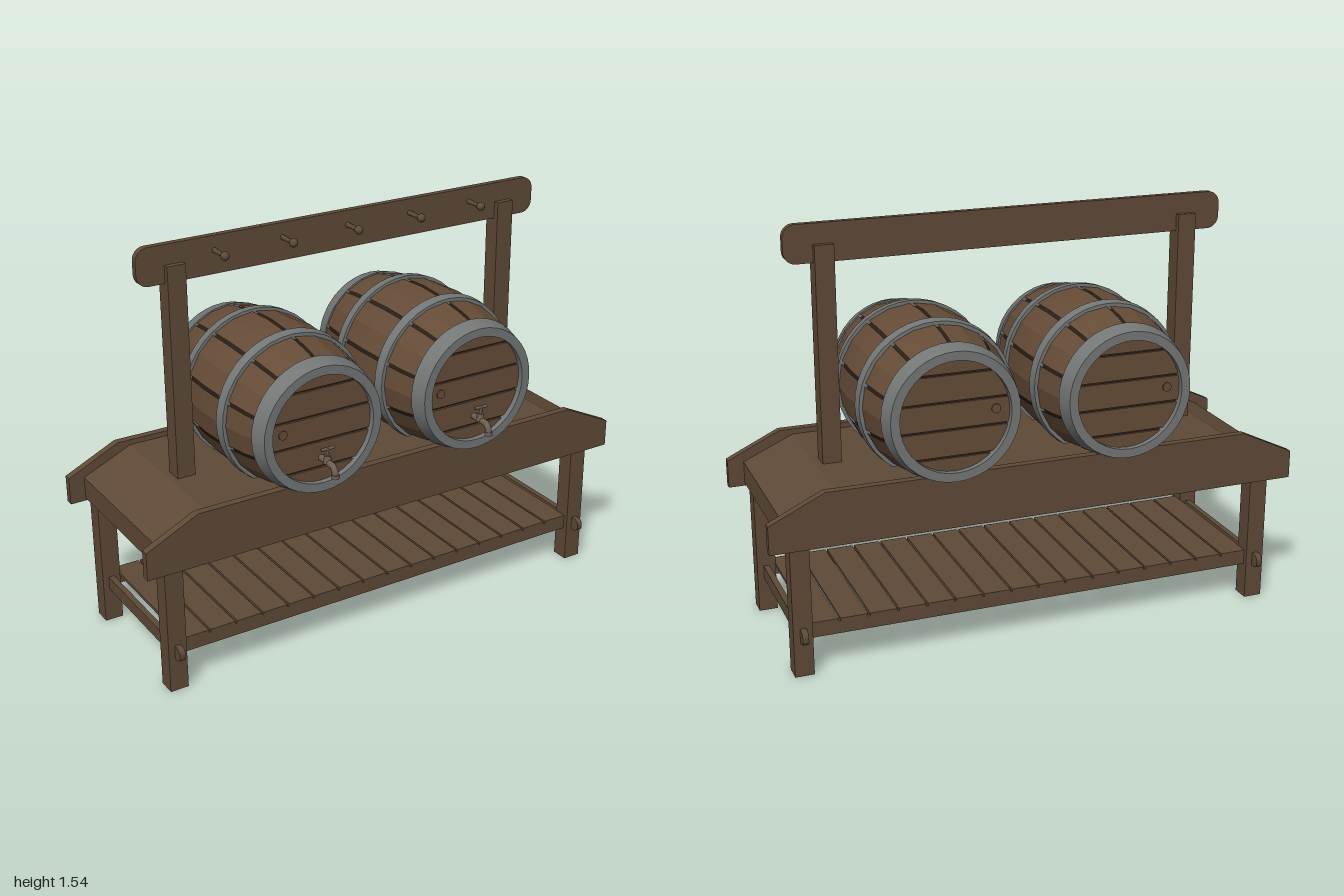
import * as THREE from 'three';
import { toCreasedNormals } from 'three/addons/utils/BufferGeometryUtils.js';

const mat = (name, color) => new THREE.MeshStandardMaterial({ name, color });

export function createModel() {
  const wood = mat('rack wood', 0x5f4a37);
  const oak = mat('barrel wood', 0x664c37);
  const dark = mat('dark gap', 0x2a1f16);
  const steel = mat('hoop steel', 0x737776);
  const brass = mat('tap metal', 0x6f5e50);
  const model = new THREE.Group();

  function add(parent, name, geometry, material, x = 0, y = 0, z = 0) {
    const mesh = new THREE.Mesh(geometry, material);
    mesh.name = name;
    mesh.position.set(x, y, z);
    parent.add(mesh);
    return mesh;
  }
  // box given by its limits on each axis
  const box = (name, x0, x1, y0, y1, z0, z1, m = wood) =>
    add(model, name, new THREE.BoxGeometry(x1 - x0, y1 - y0, z1 - z0), m,
      (x0 + x1) / 2, (y0 + y1) / 2, (z0 + z1) / 2);
  const extrude = (shape, depth) =>
    new THREE.ExtrudeGeometry(shape, { depth, bevelEnabled: false, curveSegments: 5 });
  const polygon = pts => new THREE.Shape(pts.map(p => new THREE.Vector2(...p)));
  // rectangle with rounded corners, centred
  function roundRect(w, h, r) {
    const s = new THREE.Shape(), x = w / 2, y = h / 2;
    s.moveTo(-x + r, -y);
    s.lineTo(x - r, -y);
    s.absarc(x - r, -y + r, r, -Math.PI / 2, 0);
    s.absarc(x - r, y - r, r, 0, Math.PI / 2);
    s.absarc(-x + r, y - r, r, Math.PI / 2, Math.PI);
    s.absarc(-x + r, -y + r, r, Math.PI, Math.PI * 1.5);
    return s;
  }

  // table top with sloping ends, and its two side boards
  add(model, 'tableTop', extrude(polygon([[-0.94, 0.5], [0.94, 0.5], [0.94, 0.585], [0.75, 0.67],
    [-0.75, 0.67], [-0.94, 0.585]]), 0.627), wood, 0, 0, -0.37);
  const side = polygon([[-1, 0.49], [1, 0.49], [1, 0.595], [0.8, 0.69], [-0.8, 0.69], [-1, 0.595]]);
  for (const [name, z] of [['frontBoard', 0.257], ['backBoard', -0.398]])
    add(model, name, extrude(side, 0.03), wood, 0, 0, z);

  // legs, end rails with rounded tenons, uprights
  for (const s of [-1, 1]) {
    for (const [z0, z1] of [[0.19, 0.257], [-0.367, -0.3]])
      box('leg', s * 0.889 - 0.035, s * 0.889 + 0.035, 0, 0.5, z0, z1);
    const rail = extrude(roundRect(0.702, 0.052, 0.022), 0.022);
    rail.translate(0, 0, -0.011).rotateY(Math.PI / 2);
    add(model, 'endRail', rail, wood, s * 0.889, 0.157, -0.055);
    box('upright', s * 0.69 - 0.035, s * 0.69 + 0.035, 0.66, 1.463, -0.088, -0.02);
  }

  // slatted shelf
  for (const z of [0.224, -0.334])
    box('shelfRail', -0.86, 0.86, 0.133, 0.18, z - 0.014, z + 0.014);
  const pitch = 1.72 / 16;
  for (let i = 0; i < 16; i++) {
    const x = -0.86 + i * pitch;
    box('shelfSlat', x + 0.004, x + pitch - 0.004, 0.178, 0.19, -0.348, 0.238);
  }

  // top board with pegs
  add(model, 'topBoard', extrude(roundRect(1.66, 0.138, 0.045), 0.025), wood, 0, 1.467, -0.067);
  for (let i = -2; i <= 2; i++) {
    const pin = new THREE.CylinderGeometry(0.007, 0.01, 0.085, 8);
    pin.rotateX(Math.PI / 2);
    add(model, 'peg', pin, wood, i * 0.267, 1.483, -0.005);
    add(model, 'pegKnob', new THREE.SphereGeometry(0.016, 10, 8), wood, i * 0.267, 1.483, 0.034);
  }

  // lathe turned so that its axis runs along z
  function turned(pts, segments, start = 0, length = Math.PI * 2) {
    const g = new THREE.LatheGeometry(pts.map(p => new THREE.Vector2(...p)), segments, start, length);
    return toCreasedNormals(g.rotateX(Math.PI / 2), 0.25);
  }
  const bulge = t => 0.287 - 0.056 * (t / 0.365) ** 2;
  const stations = [-0.355, -0.25, -0.125, 0, 0.125, 0.25, 0.355];

  // head plank: slice of a disc between two heights
  function headPlank(y0, y1, r) {
    const right = [];
    for (let i = 0; i <= 6; i++) {
      const y = y0 + (y1 - y0) * i / 6;
      right.push([Math.sqrt(Math.max(r * r - y * y, 0)), y]);
    }
    const left = right.map(([x, y]) => [-x - 0.0005, y]).reverse();
    return extrude(polygon([...right, ...left]), 0.008);
  }

  function barrel(x) {
    const g = new THREE.Group();
    g.name = 'barrel';
    g.position.set(x, 0.9, -0.04);
    model.add(g);

    // dark core showing between ten staves
    add(g, 'staveGaps', turned(stations.map(t => [bulge(t) - 0.01, t]), 20), dark);
    const step = Math.PI / 5, gap = 0.022;
    for (let i = 0; i < 10; i++)
      add(g, 'stave', turned(stations.map(t => [bulge(t), t]), 2, i * step + gap, step - 2 * gap), oak);

    // middle hoops and wide end hoops
    for (const s of [-1, 1]) {
      const a = s * 0.14 - 0.02, b = s * 0.14 + 0.02;
      const ra = bulge(a) + 0.01, rb = bulge(b) + 0.01;
      add(g, 'middleHoop', turned([[0.265, a], [ra, a], [rb, b], [0.265, b]], 40), steel);
    }
    const endHoop = [[0.235, 0.303], [0.252, 0.303], [0.236, 0.365], [0.203, 0.365], [0.203, 0.33]];

    for (const turn of [0, Math.PI]) {
      const end = new THREE.Group();
      end.name = turn ? 'backEnd' : 'frontEnd';
      end.rotation.y = turn;
      g.add(end);
      add(end, 'endHoop', turned(endHoop, 40), steel);
      add(end, 'headGaps', new THREE.CircleGeometry(0.21, 40), dark, 0, 0, 0.334);
      for (let i = -2; i <= 2; i++) {
        const y0 = i === -2 ? -0.207 : i * 0.1 - 0.046;
        const y1 = i === 2 ? 0.207 : i * 0.1 + 0.046;
        add(end, 'headPlank', headPlank(y0, y1, 0.207), oak, 0, 0, 0.335);
      }
      const bung = new THREE.CylinderGeometry(0.017, 0.017, 0.012, 14);
      bung.rotateX(Math.PI / 2);
      add(end, 'bung', bung, oak, turn ? 0.152 : -0.152, 0.008, 0.343);
    }

    // tap with bent spout and cross handle
    const tap = new THREE.Group();
    tap.name = 'tap';
    tap.position.set(0, -0.115, 0);
    g.add(tap);
    const path = new THREE.CatmullRomCurve3([[0, 0.335], [0, 0.40], [-0.004, 0.425], [-0.018, 0.436], [-0.035, 0.438]]
      .map(([y, z]) => new THREE.Vector3(0, y, z)));
    add(tap, 'spout', new THREE.TubeGeometry(path, 14, 0.012, 10), brass);
    add(tap, 'spoutTip', new THREE.CylinderGeometry(0.014, 0.015, 0.014, 10), brass, 0, -0.034, 0.438);
    add(tap, 'valve', new THREE.CylinderGeometry(0.012, 0.016, 0.03, 10), brass, 0, 0.012, 0.386);
    add(tap, 'handleStem', new THREE.CylinderGeometry(0.006, 0.006, 0.04, 8), brass, 0, 0.035, 0.386);
    const bar = new THREE.CylinderGeometry(0.006, 0.006, 0.052, 8);
    bar.rotateZ(Math.PI / 2);
    add(tap, 'handleBar', bar, brass, 0, 0.051, 0.386);
  }
  barrel(-0.325);
  barrel(0.331);
  return model;
}
